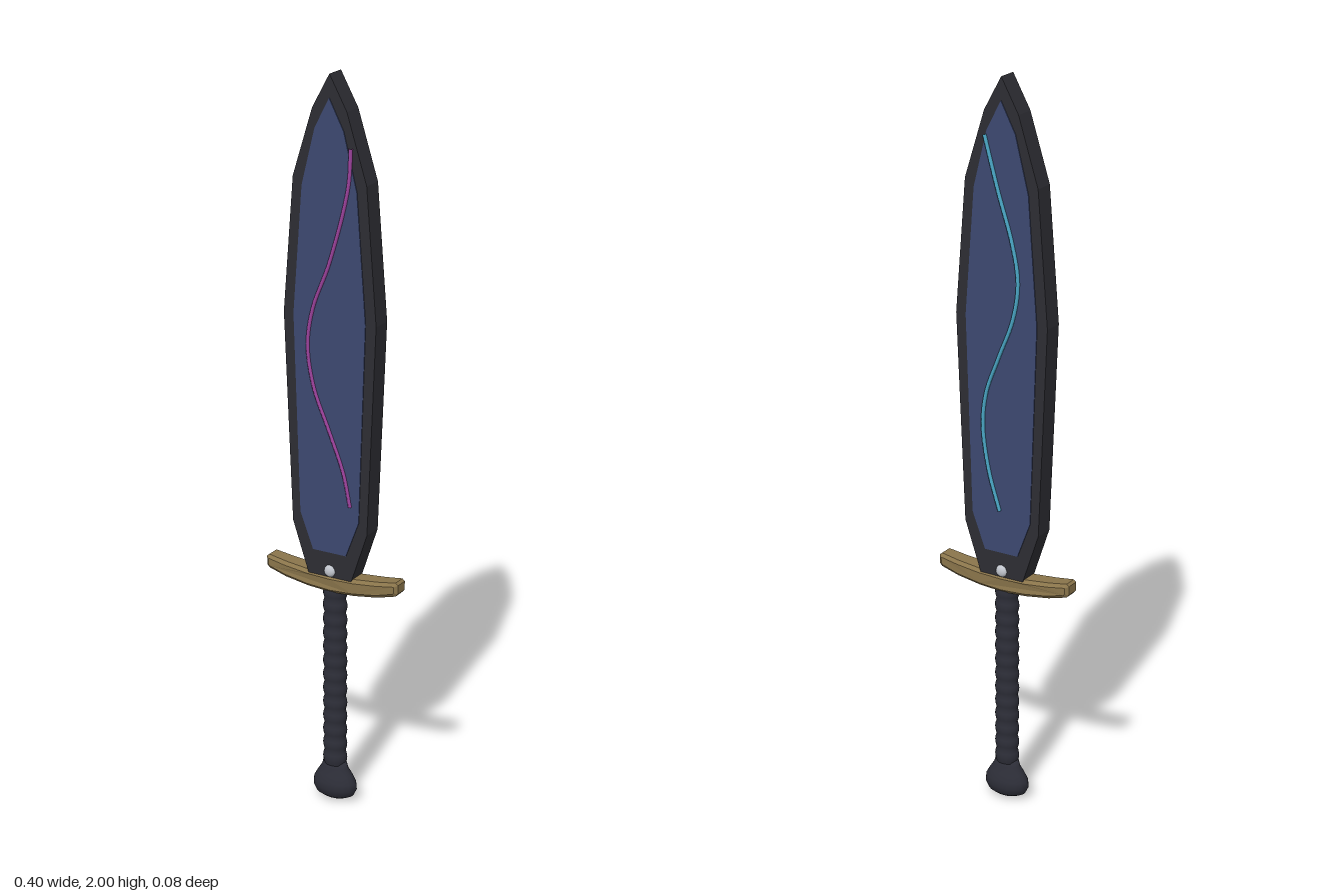
import * as THREE from 'three';

const paint = (name, color) => {
  const m = new THREE.MeshStandardMaterial({ color });
  m.name = name;
  return m;
};

// Symmetric outline from its right half, listed from top to bottom
function mirroredShape(half) {
  const left = half.filter(([x]) => x > 0).map(([x, y]) => [-x, y]).reverse();
  return new THREE.Shape([...half, ...left].map(([x, y]) => new THREE.Vector2(x, y)));
}

// Extrusion centred on z = 0
function slab(shape, depth, bevel = 0) {
  const g = new THREE.ExtrudeGeometry(shape, {
    depth: depth - 2 * bevel, bevelEnabled: bevel > 0, bevelSize: bevel,
    bevelThickness: bevel, bevelOffset: -bevel, bevelSegments: 1,
  });
  return g.translate(0, 0, -(depth - 2 * bevel) / 2);
}

export function createModel() {
  const model = new THREE.Group();
  model.name = 'dagger';
  const bladeDark = paint('blade dark', 0x2d2d33);
  const panelBlue = paint('panel blue', 0x3c4870);
  const brass = paint('brass', 0x8a754b);
  const gripDark = paint('grip charcoal', 0x2d2e38);
  const magenta = paint('magenta line', 0xa044a0);
  const cyan = paint('cyan line', 0x4ba9c8);
  const silver = paint('silver', 0xc4c8d0);

  const add = (name, geometry, material) => {
    const mesh = new THREE.Mesh(geometry, material);
    mesh.name = name;
    model.add(mesh);
    return mesh;
  };

  // Blade: flat-sided faceted slab
  add('blade', slab(mirroredShape([
    [0, 2], [0.05, 1.91], [0.107, 1.73], [0.136, 1.37], [0.112, 0.8], [0.065, 0.66],
  ]), 0.056), bladeDark);

  // Blue inlay on both faces
  const panel = mirroredShape([
    [0, 1.94], [0.042, 1.86], [0.08, 1.71], [0.106, 1.37], [0.088, 0.83], [0.05, 0.73],
  ]);
  for (const side of [1, -1]) {
    const plate = add(side > 0 ? 'frontPanel' : 'backPanel', slab(panel, 0.004), panelBlue);
    plate.position.z = side * 0.0282;
  }

  // Wavy line on each face
  const wave = (name, points, z, material) => {
    const path = new THREE.CatmullRomCurve3(points.map(([x, y]) => new THREE.Vector3(x, y, z)));
    add(name, new THREE.TubeGeometry(path, 64, 0.005, 6), material);
  };
  wave('frontLine', [
    [0.063, 1.82], [0.056, 1.72], [0.002, 1.52], [-0.048, 1.39], [-0.063, 1.29],
    [-0.045, 1.18], [0, 1.07], [0.043, 0.96], [0.063, 0.87],
  ], 0.031, magenta);
  wave('backLine', [
    [0.045, 1.85], [0.005, 1.71], [-0.036, 1.58], [-0.053, 1.48], [-0.038, 1.38],
    [0.005, 1.27], [0.042, 1.17], [0.052, 1.08], [0.035, 0.96], [0.002, 0.85],
  ], -0.035, cyan);

  // Curved crossguard, bevelled and slimmer towards the ends
  const guard = slab(mirroredShape([
    [0, 0.664], [0.07, 0.666], [0.14, 0.673], [0.193, 0.681], [0.2, 0.675], [0.2, 0.651],
    [0.193, 0.643], [0.14, 0.629], [0.07, 0.619], [0, 0.615],
  ]), 0.064, 0.009);
  const gp = guard.attributes.position;
  for (let i = 0; i < gp.count; i++) {
    const t = Math.abs(gp.getX(i)) / 0.2;
    gp.setZ(i, gp.getZ(i) * (1 - 0.22 * t * t));
  }
  guard.computeVertexNormals();
  add('crossguard', guard, brass);

  // Small studs above the guard
  for (const side of [1, -1]) {
    const stud = add(side > 0 ? 'frontStud' : 'backStud', new THREE.IcosahedronGeometry(0.017, 1), silver);
    stud.position.set(0, 0.677, side * 0.028);
    stud.scale.z = 0.55;
  }

  // Ribbed grip, slightly oval
  const ribs = 13, bottom = 0.105, top = 0.63;
  const profile = [];
  for (let i = 0; i <= ribs * 4; i++) {
    const swell = Math.abs(Math.sin((i / 4) * Math.PI));
    profile.push(new THREE.Vector2(0.0295 + 0.0045 * swell, bottom + (top - bottom) * i / (ribs * 4)));
  }
  const grip = add('grip', new THREE.LatheGeometry(profile, 16), gripDark);
  grip.scale.z = 0.85;

  // Flattened bulb pommel
  const bulb = [
    [0, 0.005], [0.035, 0.007], [0.055, 0.017], [0.065, 0.037], [0.063, 0.055],
    [0.052, 0.075], [0.039, 0.095], [0.034, 0.113], [0, 0.115],
  ].map(([x, y]) => new THREE.Vector2(x, y));
  bulb[0].y = 0;
  const pommel = add('pommel', new THREE.LatheGeometry(bulb, 18), gripDark);
  pommel.scale.z = 0.6;

  return model;
}
